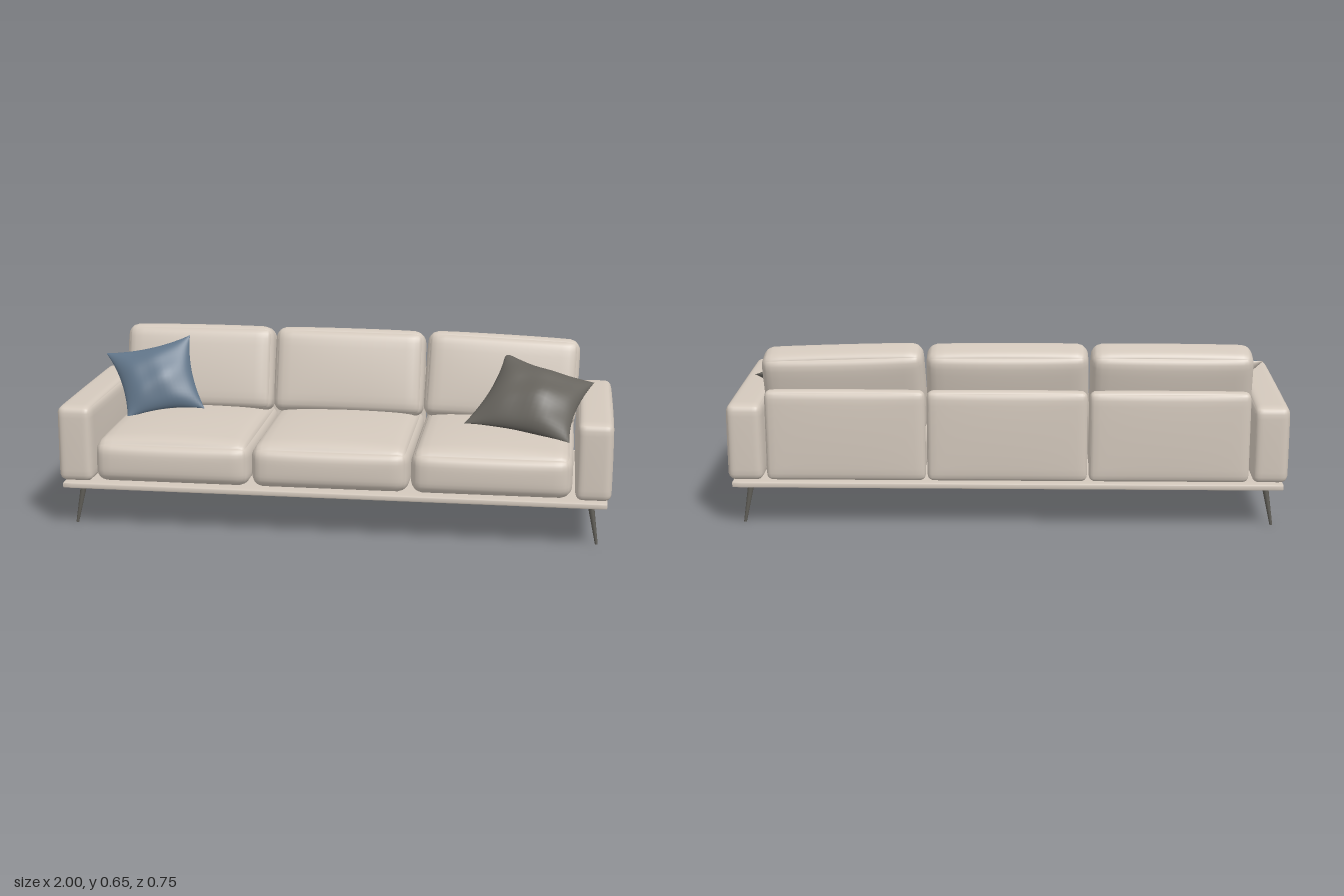
import * as THREE from 'three';
import { mergeVertices } from 'three/addons/utils/BufferGeometryUtils.js';

const mat = (name, color) => {
  const m = new THREE.MeshStandardMaterial({ color });
  m.name = name;
  return m;
};

// Soft block: a box with rounded edges whose faces swell towards their middles.
// half = half sizes, r = edge radius, swell = [x, top, bottom, front, back]
function softBlock(half, r, swell, segs = [18, 16, 18]) {
  const [hx, hy, hz] = half;
  let g = new THREE.BoxGeometry(2, 2, 2, ...segs);
  g.deleteAttribute('uv');
  g.deleteAttribute('normal');
  g = mergeVertices(g, 1e-4);
  const p = g.attributes.position;
  const v = new THREE.Vector3(), inner = new THREE.Vector3();
  const lim = new THREE.Vector3(hx - r, hy - r, hz - r);
  const spread = t => Math.sin(t * Math.PI / 2); // more rows near the edges
  const [sx, top, bottom, front, back] = swell;
  for (let i = 0; i < p.count; i++) {
    const a = spread(p.getX(i)), b = spread(p.getY(i)), c = spread(p.getZ(i));
    v.set(a * hx, b * hy, c * hz);
    inner.copy(v).clamp(lim.clone().negate(), lim);
    v.sub(inner);
    if (v.lengthSq() > 1e-12) v.setLength(r);
    v.add(inner);
    const A = 1 - a * a, B = 1 - b * b, C = 1 - c * c;
    v.x += a * sx * B * C;
    v.y += b * (b > 0 ? top : bottom) * Math.sqrt(A * C);
    v.z += c * (c > 0 ? front : back) * Math.sqrt(A * B);
    p.setXYZ(i, v.x, v.y, v.z);
  }
  g.computeVertexNormals();
  return g;
}

// One face of a scatter pillow spanning four corners (top left, top right,
// bottom right, bottom left), puffed out by depth along the pillow's normal.
function pillowFace(corners, depth, wrinkle) {
  const n = 24, pos = [], idx = [];
  const [a, b, c, d] = corners.map(k => new THREE.Vector3(...k));
  const normal = new THREE.Vector3().crossVectors(c.clone().sub(a), b.clone().sub(d)).normalize();
  for (let j = 0; j <= n; j++) {
    for (let i = 0; i <= n; i++) {
      const u = Math.sin((i / n - 0.5) * Math.PI), w = Math.sin((j / n - 0.5) * Math.PI);
      const s = (u * (1 - 0.13 * (1 - w * w)) + 1) / 2;
      const t = (w * (1 - 0.13 * (1 - u * u)) + 1) / 2;
      const puff = Math.pow(Math.max(0, (1 - u * u) * (1 - w * w)), 0.6);
      const fold = 1 + wrinkle * Math.sin(5 * u + 3 * w) * Math.cos(4 * w - 2 * u);
      const q = a.clone().lerp(b, s).lerp(d.clone().lerp(c, s), t);
      q.addScaledVector(normal, depth * puff * fold);
      pos.push(q.x, q.y, q.z);
    }
  }
  for (let j = 0; j < n; j++) {
    for (let i = 0; i < n; i++) {
      const k = j * (n + 1) + i, m = k + n + 1;
      if (depth > 0) idx.push(k, m, k + 1, k + 1, m, m + 1);
      else idx.push(k, k + 1, m, k + 1, m + 1, m);
    }
  }
  const g = new THREE.BufferGeometry();
  g.setAttribute('position', new THREE.Float32BufferAttribute(pos, 3));
  g.setIndex(idx);
  g.computeVertexNormals();
  return g;
}

export function createModel() {
  const model = new THREE.Group();
  model.name = 'sofa';
  const fabric = mat('cream fabric', 0xd3c8bc);
  const blue = mat('blue fabric', 0x617589);
  const grey = mat('grey fabric', 0x66635d);
  const metal = mat('dark metal', 0x5c5a54);

  const add = (name, geometry, material, pos = [0, 0, 0], parent = model) => {
    const m = new THREE.Mesh(geometry, material);
    m.name = name;
    m.position.set(...pos);
    parent.add(m);
    return m;
  };

  // Base platform
  add('base', softBlock([0.982, 0.0115, 0.352], 0.007, [0, 0, 0, 0, 0], [12, 6, 12]),
    fabric, [0, 0.1585, -0.012]);

  // Arms
  const armGeo = softBlock([0.063, 0.139, 0.355], 0.026, [0.006, 0.004, 0, 0.004, 0.004]);
  for (const s of [-1, 1]) add(s > 0 ? 'leftArm' : 'rightArm', armGeo, fabric, [s * 0.931, 0.314, -0.013]);

  // Seat cushions, back panels and loose back cushions
  const seatGeo = softBlock([0.283, 0.078, 0.328], 0.045, [0.003, 0.028, 0, 0.017, 0]);
  const panelGeo = softBlock([0.284, 0.164, 0.027], 0.024, [0, 0.003, 0, 0.003, 0.008]);
  const backGeo = softBlock([0.286, 0.161, 0.064], 0.04, [0.002, 0.006, 0, 0.02, 0.016]);
  ['right', 'middle', 'left'].forEach((side, i) => {
    const x = (i - 1) * 0.573;
    add(side + 'SeatCushion', seatGeo, fabric, [x, 0.256, 0.027]);
    add(side + 'BackPanel', panelGeo, fabric, [x, 0.339, -0.339]);
    const back = add(side + 'BackCushion', backGeo, fabric,
      [x + (i - 1) * 0.007, 0.484 - (i === 2 ? 0.007 : 0), -0.226]);
    back.rotation.set(-0.26, 0, [0.005, -0.005, -0.035][i]);
  });

  // Scatter pillows
  const pillow = (name, corners, depth, frontMat, backMat, wrinkle) => {
    const g = new THREE.Group();
    g.name = name;
    model.add(g);
    add(name + 'Front', pillowFace(corners, depth, wrinkle), frontMat, [0, 0, 0], g);
    add(name + 'Back', pillowFace(corners, -depth, wrinkle), backMat, [0, 0, 0], g);
  };
  pillow('bluePillow', [[-0.925, 0.557, -0.1], [-0.61, 0.625, -0.158],
    [-0.53, 0.37, -0.03], [-0.81, 0.343, 0.045]], 0.06, blue, fabric, 0.08);
  pillow('greyPillow', [[0.595, 0.587, -0.185], [0.927, 0.5, -0.105],
    [0.842, 0.352, 0.215], [0.457, 0.37, 0.06]], 0.075, grey, grey, 0.12);

  // Splayed tapered legs
  for (const sx of [-1, 1]) {
    for (const [name, zTop, zFoot] of [['Front', 0.258, 0.278], ['Back', -0.283, -0.305]]) {
      const top = new THREE.Vector3(sx * 0.923, 0.152, zTop);
      const foot = new THREE.Vector3(sx * 0.949, 0.001, zFoot);
      const dir = top.clone().sub(foot);
      const leg = add((sx > 0 ? 'left' : 'right') + name + 'Leg',
        new THREE.CylinderGeometry(0.012, 0.005, dir.length(), 16), metal,
        foot.clone().lerp(top, 0.5).toArray());
      leg.quaternion.setFromUnitVectors(new THREE.Vector3(0, 1, 0), dir.normalize());
    }
  }
  return model;
}
